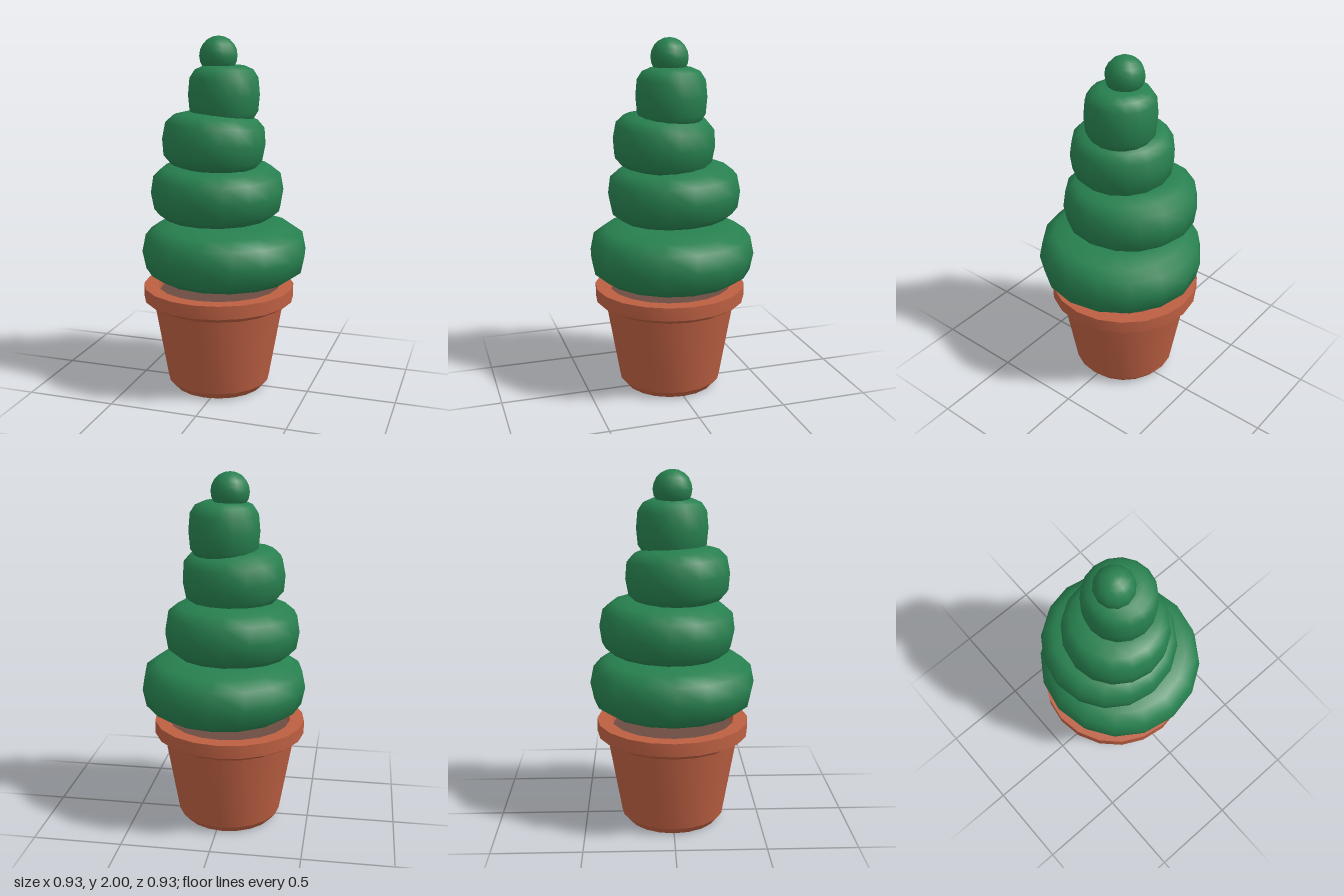
import * as THREE from 'three';
import { toCreasedNormals } from 'three/addons/utils/BufferGeometryUtils.js';

const material = (name, color) => {
  const m = new THREE.MeshStandardMaterial({ color });
  m.name = name;
  return m;
};

// Turned shape from [radius, height] pairs listed from bottom to top
const turned = (points, sides = 16) =>
  new THREE.LatheGeometry(points.map(([r, y]) => new THREE.Vector2(r, y)), sides);

export function createModel() {
  const group = new THREE.Group();
  const leaf = material('leaf green', 0x27804f);
  const clay = material('terracotta', 0xbc5f42);
  const earth = material('earth brown', 0x6d4c41);

  const add = (name, geometry, mat, x, y, z) => {
    const mesh = new THREE.Mesh(geometry, mat);
    mesh.name = name;
    mesh.position.set(x, y, z);
    group.add(mesh);
    return mesh;
  };

  const potX = -0.035;

  // Tapered pot with a thick rim and an open mouth
  const pot = turned([
    [0, 0], [0.262, 0], [0.295, 0.04], [0.373, 0.49], [0.43, 0.525],
    [0.43, 0.6], [0.35, 0.6], [0.335, 0.53],
  ], 20);
  add('pot', toCreasedNormals(pot, 0.5), clay, potX, 0, 0);

  // Soil and the short visible trunk
  const soil = new THREE.CircleGeometry(0.342, 20).rotateX(-Math.PI / 2);
  add('soil', soil, earth, potX, 0.56, 0);
  add('trunk', new THREE.CylinderGeometry(0.035, 0.035, 0.3, 10), earth, potX, 0.68, 0);

  // Clipped foliage: cushions as [radius, half height, x, y, z, tilt x, tilt z]
  const tiers = [
    [0.467, 0.17, 0, 0.802, 0, 0, 0],
    [0.377, 0.163, -0.052, 1.135, -0.03, 0.035, 0],
    [0.288, 0.158, -0.052, 1.425, 0.028, -0.05, -0.05],
    [0.198, 0.16, -0.003, 1.682, 0, 0, 0],
  ];
  const half = [[0, 1], [0.3, 1], [0.57, 0.99], [0.81, 0.86], [0.957, 0.58]];
  const profile = [
    ...half.map(([r, y]) => [r, -y]), [1, 0], ...[...half].reverse(),
  ];
  tiers.forEach(([r, h, x, y, z, tiltX, tiltZ], i) => {
    const cushion = turned(profile.map(([pr, py]) => [pr * r, py * h]));
    add(`foliageTier${i + 1}`, cushion, leaf, x, y, z).rotation.set(tiltX, 0, tiltZ);
  });

  // Round tuft at the top
  add('topBall', new THREE.SphereGeometry(0.107, 12, 10), leaf, potX, 1.893, 0);

  return group;
}
